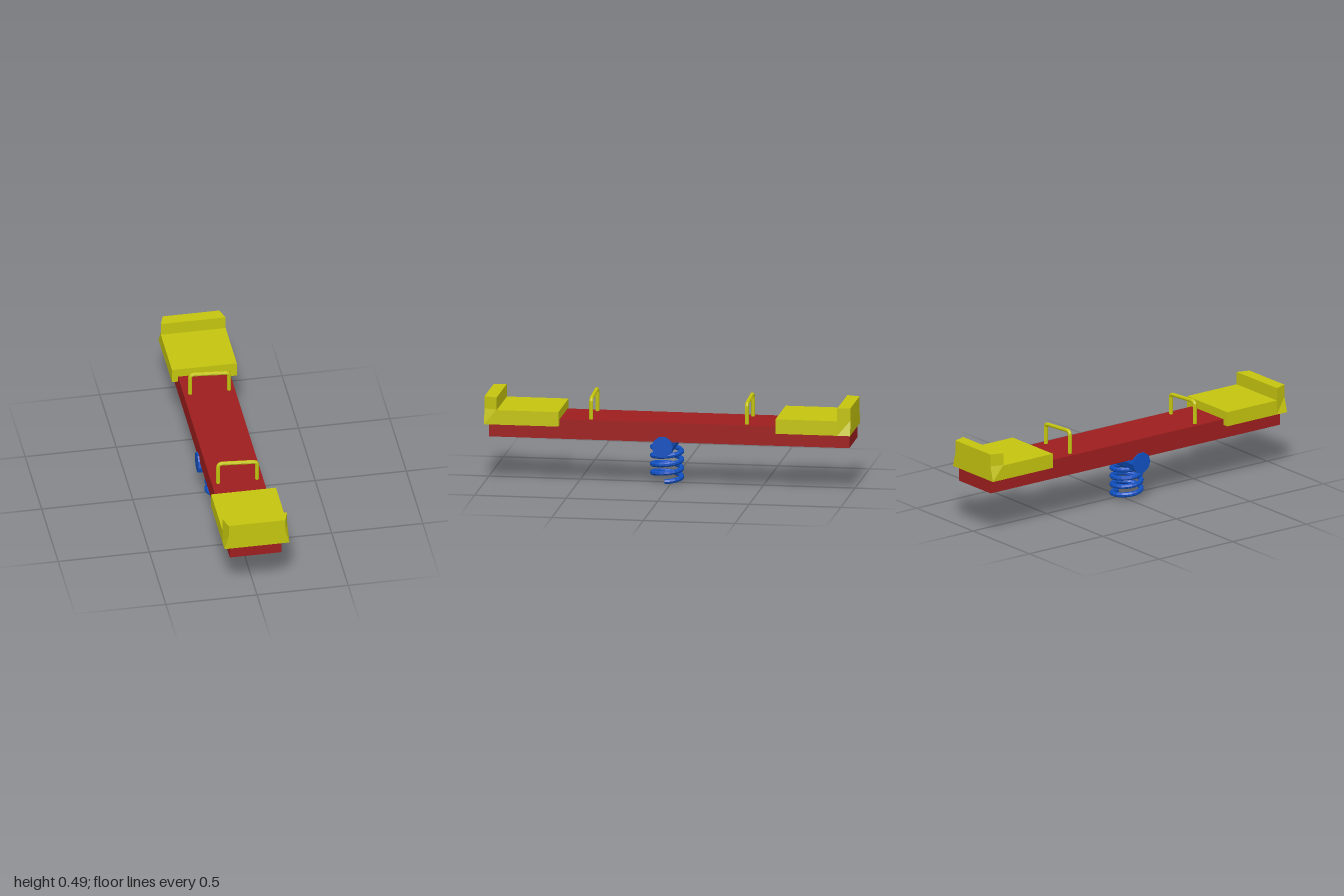
import * as THREE from 'three';

const material = (color) => new THREE.MeshStandardMaterial({ color, flatShading: true });

// Box given by its extents on each axis
function box(x0, x1, y0, y1, z0, z1, heightSegments = 1) {
  return new THREE.BoxGeometry(x1 - x0, y1 - y0, z1 - z0, 1, heightSegments, 1)
    .translate((x0 + x1) / 2, (y0 + y1) / 2, (z0 + z1) / 2);
}

// Rising coil that starts at +x and turns toward the back
class Helix extends THREE.Curve {
  getPoint(t, target = new THREE.Vector3()) {
    const a = t * 4 * Math.PI * 2;
    return target.set(-0.019 + 0.08 * Math.cos(a), 0.015 + 0.188 * t, 0.03 - 0.08 * Math.sin(a));
  }
}

// Bent bar whose top slopes slightly down toward +x
function handleCurve() {
  const p = (x, y) => new THREE.Vector3(x, y, 0);
  const path = new THREE.CurvePath();
  path.add(new THREE.LineCurve3(p(-0.109, 0.34), p(-0.109, 0.462)));
  path.add(new THREE.QuadraticBezierCurve3(p(-0.109, 0.462), p(-0.108, 0.481), p(-0.085, 0.481)));
  path.add(new THREE.LineCurve3(p(-0.085, 0.481), p(0.085, 0.47)));
  path.add(new THREE.QuadraticBezierCurve3(p(0.085, 0.47), p(0.104, 0.469), p(0.104, 0.45)));
  path.add(new THREE.LineCurve3(p(0.104, 0.45), p(0.104, 0.34)));
  return path;
}

export function createModel() {
  const model = new THREE.Group();
  model.name = 'springSeesaw';
  const yellow = material(0xc4c40f);
  const red = material(0x9e1e1e);
  const blue = material(0x1050c0);

  function add(name, geometry, mat, parent = model) {
    const mesh = new THREE.Mesh(geometry, mat);
    mesh.name = name;
    parent.add(mesh);
    return mesh;
  }

  // Long board
  add('plank', box(-0.145, 0.137, 0.25, 0.357, -0.99, 0.977), red);

  // Backrest: outer face pinched in above its lower edge
  const backrest = box(-0.178, 0.178, 0.325, 0.475, 0.93, 1, 2);
  const pos = backrest.attributes.position;
  for (let i = 0; i < pos.count; i++) {
    const y = pos.getY(i);
    if (Math.abs(y - 0.4) < 0.01) pos.setY(i, 0.408);
    if (pos.getZ(i) > 0.99 && y > 0.35) pos.setX(i, Math.sign(pos.getX(i)) * 0.155);
  }

  // Seat and handle at each end
  const handle = new THREE.TubeGeometry(handleCurve(), 44, 0.011, 8);
  for (const [end, dir] of [['front', 1], ['back', -1]]) {
    const seat = new THREE.Group();
    seat.name = end + 'Seat';
    seat.rotation.y = dir > 0 ? 0 : Math.PI;
    model.add(seat);
    add(end + 'SeatPad', box(-0.178, 0.178, 0.325, 0.405, 0.593, 0.93), yellow, seat);
    add(end + 'Backrest', backrest, yellow, seat);
    add(end + 'Handle', handle, yellow).position.z = dir * 0.425;
  }

  // Pivot bar across the underside
  const axle = new THREE.CylinderGeometry(0.058, 0.058, 0.305, 10).rotateZ(Math.PI / 2);
  add('axle', axle, blue).position.set(-0.002, 0.223, 0.03);

  // Coil spring with its exposed end closed
  const spring = new THREE.Group();
  spring.name = 'spring';
  model.add(spring);
  add('springCoil', new THREE.TubeGeometry(new Helix(), 80, 0.0138, 8), blue, spring);
  add('springEnd', new THREE.CircleGeometry(0.0138, 8), blue, spring).position.set(0.061, 0.015, 0.03);

  return model;
}
